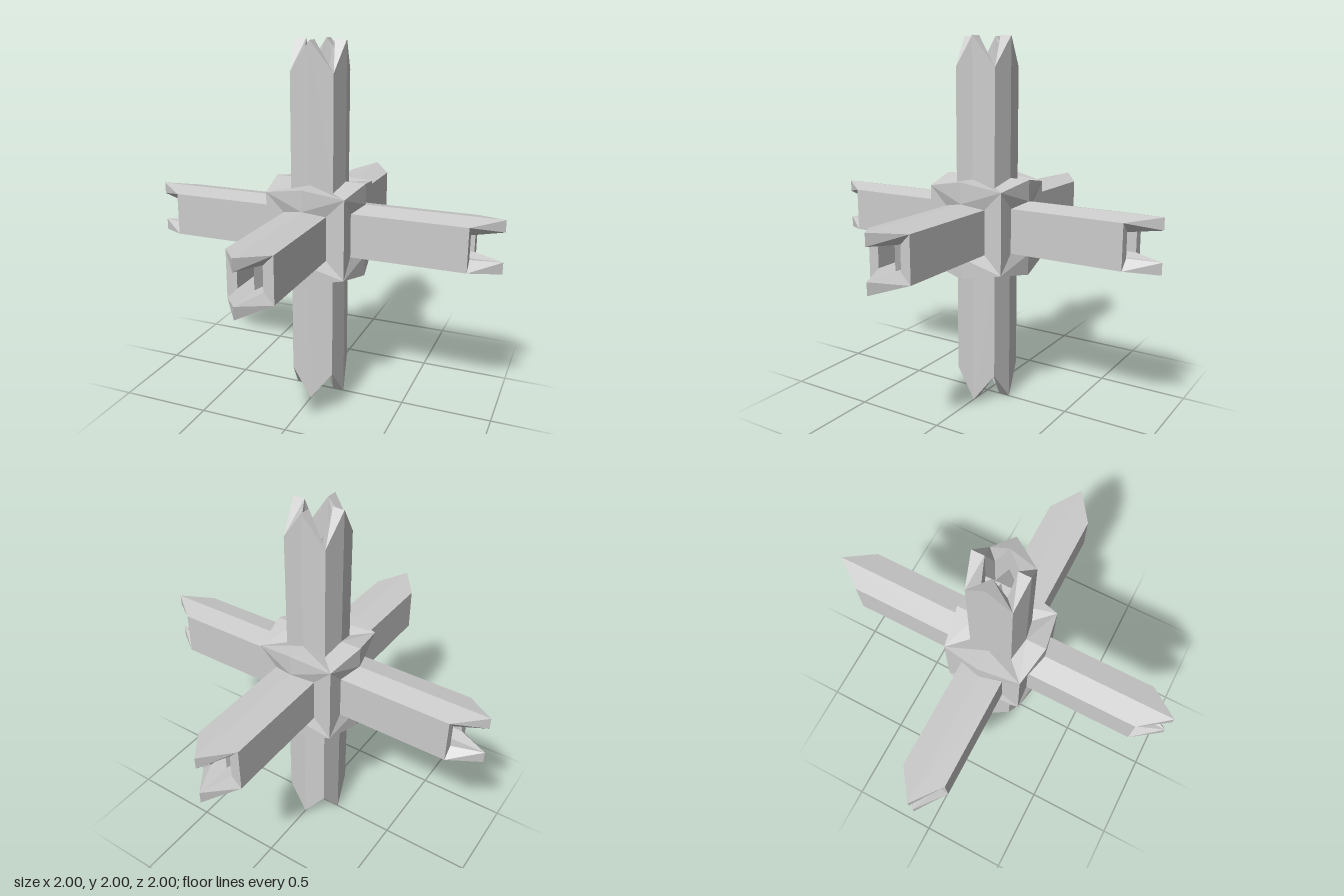
import * as THREE from 'three';

// Ring across the +z axis: square corners plus raised midpoints.
// Four-way rings bulge on every side, two-way rings only at top and bottom.
function ring(fourWay, a, b, cornerZ, peakZ) {
  const c = (x, y) => ({ corner: true, p: [x * a, y * a, cornerZ] });
  const m = (x, y) => ({ corner: false, p: [x * b, y * b, peakZ] });
  const points = [c(1, 1), m(0, 1), c(-1, 1)];
  if (fourWay) points.push(m(-1, 0));
  points.push(c(-1, -1), m(0, -1), c(1, -1));
  if (fourWay) points.push(m(1, 0));
  return points;
}

// Joins successive rings with faces and optionally closes the last one.
function skin(rings, capZ) {
  const pos = [];
  const tri = (a, b, c) => pos.push(...a, ...b, ...c);
  for (let k = 0; k < rings.length - 1; k++) {
    const o = rings[k], n = rings[k + 1];
    for (let i = 0; i < o.length; i++) {
      const j = (i + 1) % o.length;
      if (o[i].corner) {
        tri(o[i].p, o[j].p, n[j].p);
        tri(o[i].p, n[j].p, n[i].p);
      } else {
        tri(o[i].p, o[j].p, n[i].p);
        tri(o[j].p, n[j].p, n[i].p);
      }
    }
  }
  if (capZ !== undefined) {
    const last = rings[rings.length - 1];
    last.forEach((q, i) => tri(q.p, last[(i + 1) % last.length].p, [0, 0, capZ]));
  }
  const geometry = new THREE.BufferGeometry();
  geometry.setAttribute('position', new THREE.Float32BufferAttribute(pos, 3));
  geometry.computeVertexNormals();
  return geometry;
}

export function createModel() {
  const model = new THREE.Group();
  model.name = 'sixArmedCross';
  const material = new THREE.MeshStandardMaterial({ color: 0xcccccc, flatShading: true });
  const depth = 0.2; // socket depth in each arm end

  function addArm(name, fourWay, rx, ry) {
    const r = (...args) => ring(fourWay, ...args);
    const arm = new THREE.Group();
    arm.name = name;
    // One face of the central hub, framing the arm
    const hubFace = new THREE.Mesh(
      skin([r(0.22, 0.26, 0.22, 0.26), r(0.12, 0.145, 0.22, 0.26)]), material);
    hubFace.name = 'hubFace';
    // Beam with pointed prongs and a hollow socket at the end
    const beam = new THREE.Mesh(skin([
      r(0.12, 0.145, 0.22, 0.26),
      r(0.12, 0.145, 0.84, 1),
      r(0.066, 0.08, 0.84, 1),
      r(0.066, 0.08, 0.84 - depth, 1 - depth),
    ], 1 - depth), material);
    beam.name = 'beam';
    arm.add(hubFace, beam);
    arm.rotation.set(rx, ry, 0);
    arm.position.y = 1;
    model.add(arm);
  }

  // Horizontal arms
  ['frontArm', 'leftArm', 'backArm', 'rightArm'].forEach((name, i) =>
    addArm(name, false, 0, i * Math.PI / 2));
  // Vertical arms
  addArm('topArm', true, -Math.PI / 2, 0);
  addArm('bottomArm', true, Math.PI / 2, 0);
  return model;
}
